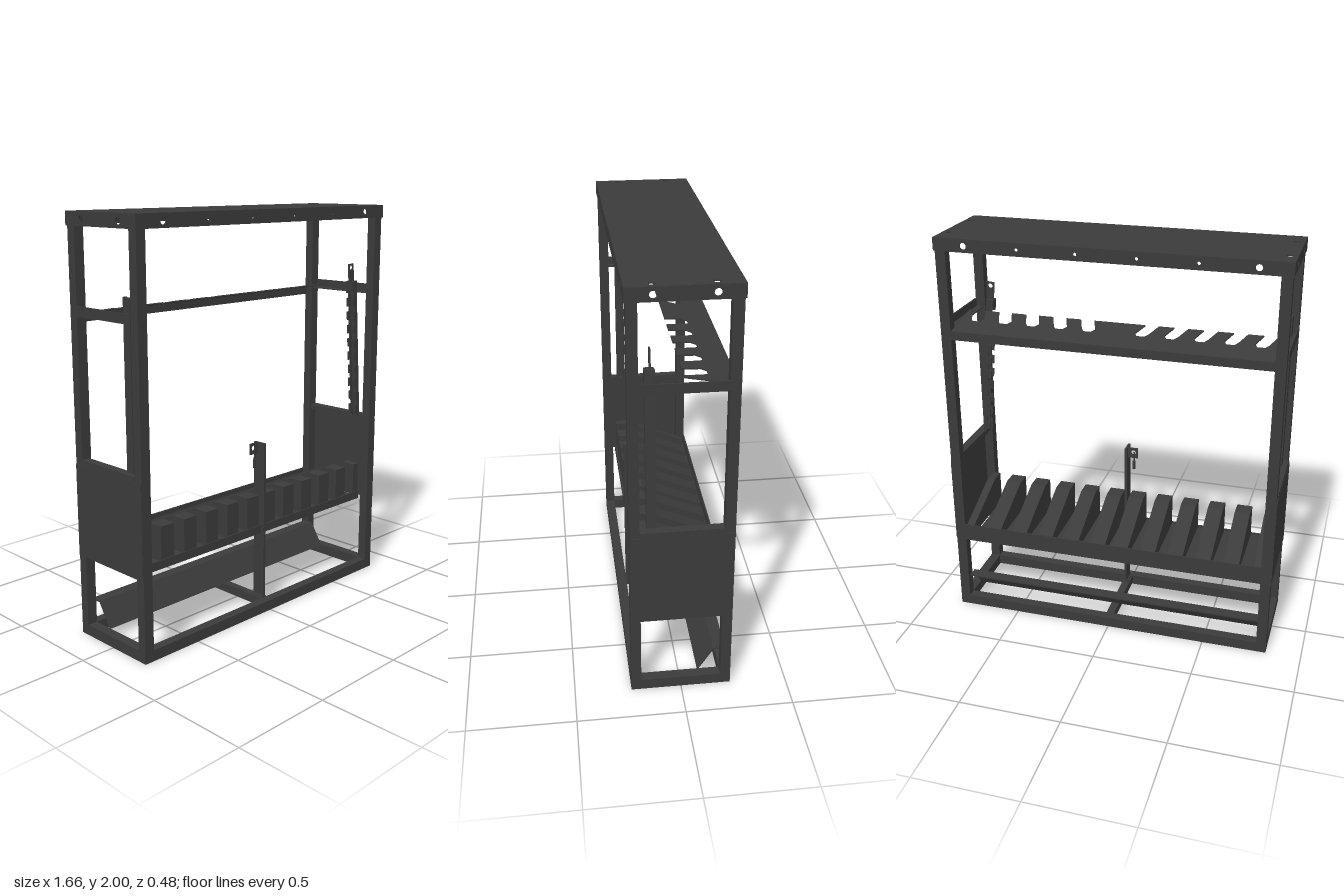
import * as THREE from 'three';

const MAT = new THREE.MeshStandardMaterial({ color: 0x3b3b3b, side: THREE.DoubleSide });
const T = 0.006; // sheet metal thickness

export function createModel() {
  const root = new THREE.Group();

  const add = (name, geo, parent = root) => {
    const m = new THREE.Mesh(geo, MAT);
    m.name = name;
    parent.add(m);
    return m;
  };
  // box given by its min / max corners
  const box = (name, x0, x1, y0, y1, z0, z1, parent = root) => {
    const g = new THREE.BoxGeometry(x1 - x0, y1 - y0, z1 - z0);
    g.translate((x0 + x1) / 2, (y0 + y1) / 2, (z0 + z1) / 2);
    return add(name, g, parent);
  };
  const polygon = (pts) => new THREE.Shape(pts.map((p) => new THREE.Vector2(p[0], p[1])));
  const extrude = (shape, depth) =>
    new THREE.ExtrudeGeometry(shape, { depth, bevelEnabled: false, curveSegments: 8 });
  // flat rectangular sheet, centred, with round holes [x, y, r]
  const sheet = (w, h, holes) => {
    const s = polygon([[-w / 2, -h / 2], [w / 2, -h / 2], [w / 2, h / 2], [-w / 2, h / 2]]);
    for (const [x, y, r] of holes) {
      const p = new THREE.Path();
      p.absarc(x, y, r, 0, Math.PI * 2, true);
      s.holes.push(p);
    }
    return extrude(s, T).translate(0, 0, -T / 2);
  };

  // Frame: four posts, floor rails and a centre floor bar
  for (const s of [-1, 1]) {
    for (const t of [-1, 1]) {
      const x = s * 0.8, z = t * 0.2115;
      box('post', x - 0.025, x + 0.025, 0, 1.99, z - 0.0235, z + 0.0235);
    }
    box('longFloorRail', -0.775, 0.775, 0, 0.053, s * 0.2115 - 0.0235, s * 0.2115 + 0.0235);
    box('sideFloorRail', s * 0.8 - 0.025, s * 0.8 + 0.025, 0, 0.053, -0.188, 0.188);
  }
  box('centreFloorBar', -0.02, 0.02, 0.01, 0.053, -0.188, 0.188);

  // Top cap: folded sheet lid with a drilled skirt
  const cap = new THREE.Group();
  cap.name = 'topCap';
  root.add(cap);
  const lidHoles = [];
  for (const x of [-0.795, 0.795]) for (const y of [-0.127, 0.127]) lidHoles.push([x, y, 0.016]);
  add('lid', sheet(1.66, 0.48, lidHoles), cap).position.y = 1.997;
  cap.children[0].rotation.x = -Math.PI / 2;
  const longHoles = [];
  for (const s of [-1, 1])
    longHoles.push([s * 0.68, 0, 0.016], [s * 0.42, 0, 0.008], [s * 0.142, 0, 0.008]);
  for (const s of [-1, 1]) {
    add('longSkirt', sheet(1.66, 0.06, longHoles), cap).position.set(0, 1.967, s * 0.238);
    const side = add('sideSkirt', sheet(0.48, 0.06, [[-0.127, 0, 0.016], [0.127, 0, 0.016]]), cap);
    side.position.set(s * 0.828, 1.967, 0);
    side.rotation.y = Math.PI / 2;
  }

  // Upper rest: tilted comb plate with skewed slots and a rear flange
  const slots = [];
  for (let k = -5; k < 5; k++) slots.push(Math.sign(k + 0.5) * (0.13 + 0.141 * (k < 0 ? -k - 1 : k)));
  const comb = [[-0.775, 0], [0.775, 0], [0.775, 0.225]];
  for (const c of slots.slice().reverse()) {
    const skew = Math.sign(c) * 0.03;
    comb.push([c + 0.033 + skew, 0.225], [c + 0.033, 0.14], [c + 0.018, 0.115],
      [c - 0.018, 0.115], [c - 0.033, 0.14], [c - 0.033 + skew, 0.225]);
  }
  comb.push([-0.775, 0.225]);
  const plate = add('upperRestComb', extrude(polygon(comb), T));
  plate.position.set(0, 1.548, -0.228);
  plate.rotation.x = Math.PI / 2 - 0.18;
  box('upperRestFlange', -0.775, 0.775, 1.505, 1.548, -0.235, -0.228);

  for (const s of [-1, 1]) {
    const span = (a, b) => [Math.min(s * a, s * b), Math.max(s * a, s * b)];
    // Angle rail joining the posts at the upper rest
    box('upperSideRail', ...span(0.822, 0.829), 1.54, 1.586, -0.19, 0.19);
    box('upperSideRailLip', ...span(0.785, 0.825), 1.54, 1.546, -0.19, 0.19);
    // Side panel with a folded top edge
    box('sidePanel', ...span(0.823, 0.829), 0.4, 0.85, -0.233, 0.233);
    box('sidePanelLip', ...span(0.785, 0.828), 0.848, 0.876, -0.187, 0.187);

    // Notched locking bar; the left one leans inward and carries a lock tab
    const bar = new THREE.Group();
    bar.name = 'lockingBar';
    bar.position.set(s * (s > 0 ? 0.788 : 0.799), 0.86, 0);
    bar.rotation.z = s > 0 ? 0.075 : 0;
    root.add(bar);
    const h = s > 0 ? 0.75 : 0.79;
    box('barWeb', -T / 2, T / 2, 0, h, 0.11, 0.155, bar);
    const teeth = [[0, 0]];
    for (let i = 0; i < 10; i++) {
      const y = 0.03 + i * 0.073;
      teeth.push([-s * 0.016, y], [-s * 0.031, y], [-s * 0.031, y + 0.045], [-s * 0.016, y + 0.045]);
    }
    teeth.push([-s * 0.016, h], [0, h]);
    add('barTeeth', extrude(polygon(teeth), T), bar).position.z = 0.149;
    add('barTeeth', extrude(polygon(teeth), T), bar).position.z = 0.11;
    if (s > 0) {
      add('lockTab', sheet(0.04, 0.11, [[0, 0.035, 0.012]]), bar).position.set(-0.012, 0.785, 0.13);
      box('tabBlock', -0.034, 0.004, 0.7, h, 0.112, 0.155, bar);
    }
  }

  // Lower shelf: slatted tray with front lip and rear flange
  box('shelfFrontLip', -0.775, 0.775, 0.4, 0.442, 0.17, 0.176);
  box('shelfFloorFront', -0.775, 0.775, 0.425, 0.431, 0.14, 0.172);
  box('shelfFloorBack', -0.775, 0.775, 0.425, 0.431, -0.23, -0.18);
  box('shelfRearFlange', -0.775, 0.775, 0.4, 0.49, -0.235, -0.229);
  for (const c of slots) box('shelfSlat', c - 0.036, c + 0.036, 0.425, 0.431, -0.18, 0.14);
  box('shelfSlat', -0.022, 0.022, 0.425, 0.431, -0.18, 0.14);

  // Dividers: folded channels, open below, sloping down to the rear
  const divider = (x, w) => {
    const g = new THREE.Group();
    g.name = 'shelfDivider';
    g.position.x = x;
    root.add(g);
    const front = [[0.168, 0.43], [0.168, 0.6], [0.09, 0.6], [-0.22, 0.47]];
    const cheek = polygon([...front, [-0.22, 0.43]]);
    for (const s of [-1, 1]) {
      const m = add('dividerCheek', extrude(cheek, 0.003), g);
      m.rotation.y = -Math.PI / 2;
      m.position.x = s * (w / 2 - 0.0015) + 0.0015;
    }
    const t = 0.004;
    const band = polygon([...front, [-0.22, 0.47 - t], [0.09, 0.6 - t], [0.168 - t, 0.6 - t], [0.168 - t, 0.43]]);
    const skin = add('dividerSkin', extrude(band, w), g);
    skin.rotation.y = -Math.PI / 2;
    skin.position.x = w / 2;
  };
  for (const s of [-1, 1]) {
    for (let k = 0; k < 5; k++) divider(s * (0.06 + 0.141 * k), 0.078);
    divider(s * 0.755, 0.04);
  }

  // Rear floor guard: bent sheet
  const guard = add('floorGuard', extrude(polygon([
    [0.083, 0.05], [0.158, 0.169], [0.215, 0.169], [0.215, 0.162], [0.162, 0.162], [0.09, 0.05],
  ]), 1.55));
  guard.rotation.y = Math.PI / 2;
  guard.position.x = -0.775;

  // Centre lock post with bracket, hasp plate and hanging pin
  box('lockPost', -0.003, 0.009, 0.053, 0.865, 0.118, 0.188);
  box('lockPostBrace', -0.01, 0.012, 0.41, 0.43, 0.05, 0.188);
  box('lockPostFoot', -0.012, 0.012, 0.053, 0.06, 0.115, 0.188);
  add('haspPlate', sheet(0.062, 0.056, [[-0.008, 0.003, 0.013]])).position.set(-0.025, 0.837, 0.14);
  const pin = add('haspPin', new THREE.CylinderGeometry(0.004, 0.004, 0.05, 8));
  pin.position.set(-0.033, 0.81, 0.15);
  const grip = add('haspPinGrip', new THREE.CylinderGeometry(0.008, 0.008, 0.045, 8));
  grip.position.set(-0.033, 0.763, 0.15);

  return root;
}
